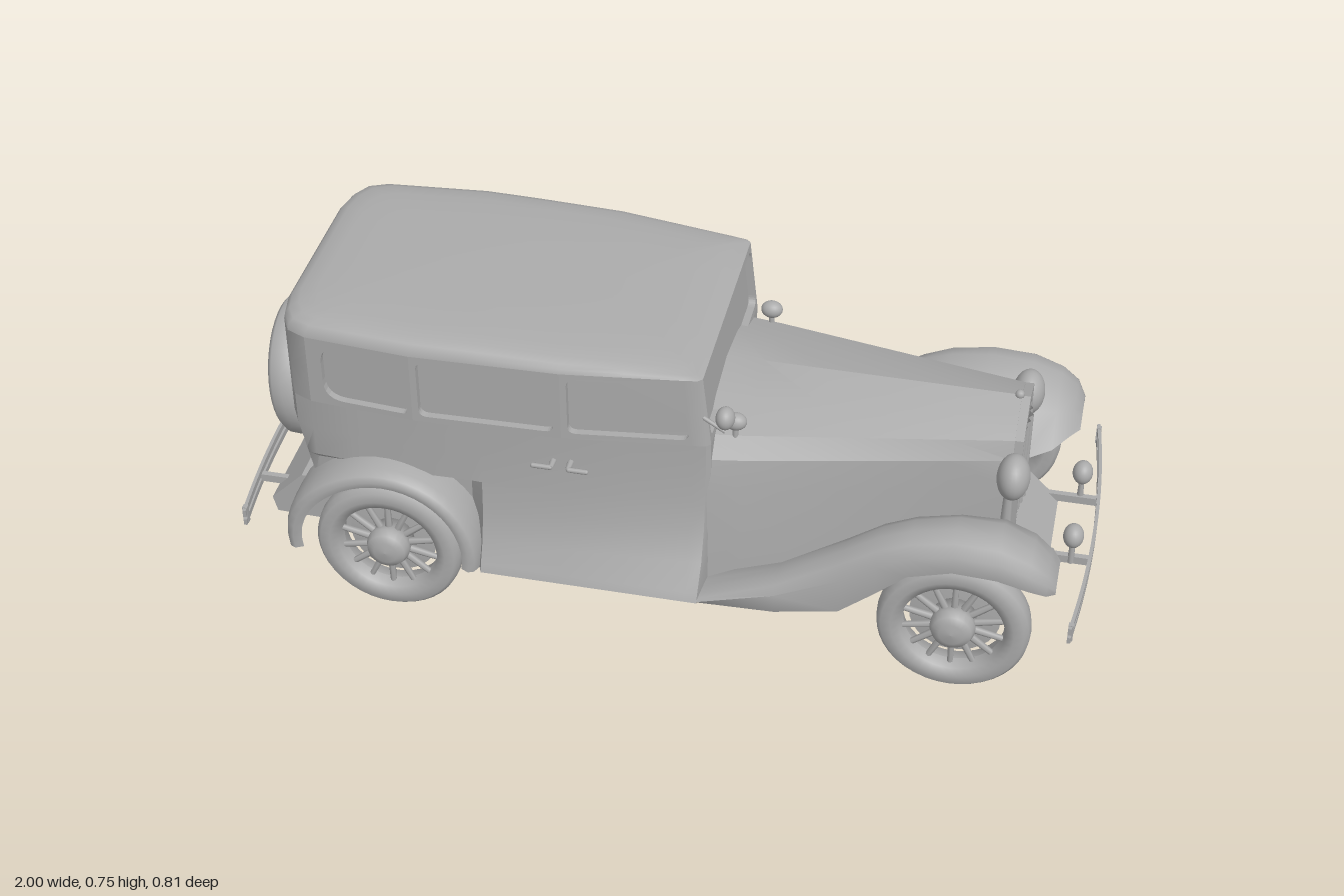
import * as THREE from 'three';
import { mergeGeometries, toCreasedNormals } from 'three/addons/utils/BufferGeometryUtils.js';

const grey = new THREE.MeshStandardMaterial({ color: 0xababab, side: THREE.DoubleSide });
grey.name = 'plain grey';
const V2 = (x, y) => new THREE.Vector2(x, y);

// Smooth skin through rows of [x, y, z] points
function loft(rows, crease = 0.6) {
  const n = rows[0].length, index = [];
  for (let i = 0; i < rows.length - 1; i++) for (let j = 0; j < n - 1; j++) {
    const a = i * n + j, b = a + n;
    index.push(a, b, a + 1, b, b + 1, a + 1);
  }
  const g = new THREE.BufferGeometry();
  g.setAttribute('position', new THREE.Float32BufferAttribute(rows.flat(2), 3));
  g.setIndex(index);
  return toCreasedNormals(g, crease);
}
// Move every vertex by a rule
function warp(g, rule) {
  const p = g.attributes.position;
  for (let i = 0; i < p.count; i++) p.setXYZ(i, ...rule(p.getX(i), p.getY(i), p.getZ(i)));
  g.computeVertexNormals();
  return g;
}
// Copy to the other side, keeping faces outward
function mirror(g) {
  const m = g.index ? g.toNonIndexed() : g.clone();
  m.scale(1, 1, -1);
  for (const a of Object.values(m.attributes)) for (let i = 0; i < a.count; i += 3)
    for (let k = 0; k < a.itemSize; k++) {
      const t = a.getComponent(i + 1, k);
      a.setComponent(i + 1, k, a.getComponent(i + 2, k));
      a.setComponent(i + 2, k, t);
    }
  return m;
}
const merge = list => mergeGeometries(list.map(g => {
  const m = g.index ? g.toNonIndexed() : g;
  m.deleteAttribute('uv');
  return m;
}));
// Linear lookup in a table of [x, value] with rising x
function lookup(t, x) {
  if (x <= t[0][0]) return t[0][1];
  for (let i = 1; i < t.length; i++) if (x <= t[i][0])
    return t[i - 1][1] + (t[i][1] - t[i - 1][1]) * (x - t[i - 1][0]) / (t[i][0] - t[i - 1][0]);
  return t[t.length - 1][1];
}
function roundRect(p, x0, y0, x1, y1, r, rl = r) {
  p.moveTo(x0 + rl, y0); p.lineTo(x1 - r, y0); p.quadraticCurveTo(x1, y0, x1, y0 + r);
  p.lineTo(x1, y1 - r); p.quadraticCurveTo(x1, y1, x1 - r, y1);
  p.lineTo(x0 + rl, y1); p.quadraticCurveTo(x0, y1, x0, y1 - rl);
  p.lineTo(x0, y0 + rl); p.quadraticCurveTo(x0, y0, x0 + rl, y0);
  return p;
}

const BELT = 0.53, HEAD = 0.71, REVEAL = 0.02;
const halfWidth = x => lookup([[-0.8, 0.312], [-0.55, 0.333], [-0.205, 0.325], [0.09, 0.29]], x);
const rake = (x, y) => x - Math.max(0, y - BELT) * 0.11 * THREE.MathUtils.clamp((x + 0.2) / 0.3, 0, 1);

// Half outline of the cabin in plan, front centre to rear centre
const sideX = [0.09, -0.05, -0.205, -0.395, -0.43, -0.55, -0.7, -0.8];
const half = [[0.13, 0], [0.13, 0.15], [0.13, 0.275], [0.12, 0.285], ...sideX.map(x => [x, halfWidth(x)]),
  [-0.845, 0.292], [-0.868, 0.25], [-0.88, 0.19], [-0.88, 0.1], [-0.88, 0]];
const outline = [...half, ...half.slice(0, -1).reverse().map(([x, z]) => [x, -z])];

// One level of the cabin: flared sill, narrow over the rear wheels, domed roof
function level(y, inset = 0) {
  return outline.map(([x, z]) => {
    let w = Math.abs(z), px = x, py = y;
    if (w > 0.28 && x > -0.41) w += (0.385 - w) * lookup([[0.145, 1], [0.165, 0.9], [0.22, 0.45], [0.3, 0.15], [0.42, 0]], y);
    else if (x <= -0.41 && y < 0.37) w = Math.min(w, 0.3);
    if (x < -0.8) px += lookup([[0.145, 0.06], [0.3, 0.03], [0.45, 0]], y);
    px = -0.37 + (px + 0.37) * (1 - inset / 0.5);
    w *= 1 - inset / 0.31;
    if (y >= HEAD) py -= Math.max(0, px + 0.6) ** 2 * 0.05 * Math.min(1, (y - HEAD) / 0.03);
    return [rake(px, y), py, Math.sign(z) * w];
  });
}

// Window panel and its recessed pane, placed by a rule
function windowPanel(rect, hole, place) {
  const s = new THREE.Shape([V2(rect[0], BELT), V2(rect[1], BELT), V2(rect[1], HEAD), V2(rect[0], HEAD)]);
  s.holes.push(roundRect(new THREE.Path(), ...hole));
  const frame = new THREE.ExtrudeGeometry(s, { depth: REVEAL, bevelEnabled: false, curveSegments: 6 });
  const pane = new THREE.ShapeGeometry(roundRect(new THREE.Shape(), ...hole), 6);
  return [warp(frame, place), warp(pane, (x, y, z) => place(x, y, z + 0.003))];
}

// Wheel with its axis on z, outer face to +z
function wheelGeometry() {
  const turn = (pts, n = 40) => new THREE.LatheGeometry(pts.map(p => V2(...p)), n).rotateX(Math.PI / 2);
  const parts = [
    turn([[0.115, 0], [0.12, -0.03], [0.14, -0.037], [0.163, -0.035], [0.173, -0.024], [0.176, 0],
      [0.173, 0.024], [0.163, 0.035], [0.14, 0.037], [0.12, 0.03], [0.115, 0]]),
    turn([[0, -0.02], [0.05, -0.02], [0.052, 0.025], [0.045, 0.042], [0.028, 0.05], [0, 0.053]], 24),
    turn([[0, -0.042], [0.09, -0.042], [0.105, -0.034], [0.105, -0.02], [0, -0.02]], 28),
  ];
  for (let i = 0; i < 14; i++)
    parts.push(new THREE.CylinderGeometry(0.007, 0.009, 0.08, 6).translate(0, 0.082, 0.008).rotateZ(i * Math.PI / 7));
  return merge(parts);
}

export function createModel() {
  const car = new THREE.Group();
  car.name = 'vintage saloon car';
  const add = (name, g) => {
    const m = new THREE.Mesh(g, grey);
    m.name = name;
    car.add(m);
    return m;
  };
  const pair = (name, g) => { add(name + 'Left', g); add(name + 'Right', mirror(g)); };

  // Cabin shell
  add('lowerBody', loft([level(0.145, 0.31), ...[0.145, 0.165, 0.22, 0.3, 0.36, 0.375, 0.45, BELT].map(y => level(y))]));
  add('roof', loft([[HEAD, 0], [0.725, 0.003], [0.736, 0.012], [0.744, 0.03], [0.749, 0.065], [0.752, 0.13], [0.754, 0.22], [0.754, 0.31]]
    .map(l => level(...l)), 1));
  for (const [name, a, b] of [['windscreenPost', 2, 5], ['rearCorner', 11, 15]])
    pair(name, loft([BELT, 0.62, HEAD].map(y => level(y).slice(a, b)), 1));

  // Windows
  const onSide = (x, y, z) => [rake(x, y), y, halfWidth(x) - REVEAL + z];
  const sideWindows = [
    [[-0.205, 0.09], [-0.19, 0.545, 0.085, 0.695, 0.02]],
    [[-0.55, -0.205], [-0.535, 0.545, -0.222, 0.695, 0.02]],
    [[-0.8, -0.55], [-0.765, 0.545, -0.562, 0.695, 0.015, 0.05]],
  ];
  for (const [rect, hole] of sideWindows) {
    const [frame, pane] = windowPanel(rect, hole, onSide);
    pair('sideWindowFrame', frame);
    pair('sideWindow', pane);
  }
  const [screenFrame, screen] = windowPanel([-0.275, 0.275], [-0.265, 0.545, 0.265, 0.693, 0.02],
    (x, y, z) => [rake(0.13, y) - REVEAL + z, y, -x]);
  add('windscreenFrame', screenFrame);
  add('windscreen', screen);
  const [backFrame, back] = windowPanel([-0.19, 0.19], [-0.14, 0.585, 0.14, 0.67, 0.015],
    (x, y, z) => [-0.88 + REVEAL - z, y, x]);
  add('rearWindowFrame', backFrame);
  add('rearWindow', back);

  // Bonnet, tapering from the scuttle to the radiator
  const cowl = [[0, 0.145], [0.3, 0.145], [0.288, 0.4], [0.272, 0.48], [0.235, 0.525], [0.13, 0.556], [0, 0.576]];
  const nose = [[0, 0.145], [0.12, 0.145], [0.13, 0.4], [0.128, 0.48], [0.112, 0.525], [0.06, 0.55], [0, 0.572]];
  const rows = [0.11, 0.2, 0.35, 0.5, 0.65, 0.795].map(x => {
    const t = Math.max(0, (x - 0.13) / 0.665);
    const side = cowl.map(([z, y], i) => [x, y + (nose[i][1] - y) * t, z + (nose[i][0] - z) * t]);
    return [...side, ...side.slice(0, -1).reverse().map(([a, y, z]) => [a, y, -z])];
  });
  rows.push(rows[5].map(() => [0.795, 0.35, 0]));
  add('bonnet', loft(rows, 0.35));

  // Radiator shell and ribbed grille
  const shell = new THREE.Shape([V2(-0.115, 0.2), V2(0.115, 0.2), V2(0.128, 0.42), V2(0.112, 0.525), V2(0, 0.57), V2(-0.112, 0.525), V2(-0.128, 0.42)]);
  shell.holes.push(roundRect(new THREE.Path(), -0.103, 0.28, 0.103, 0.52, 0.012));
  add('radiatorShell', new THREE.ExtrudeGeometry(shell, { depth: 0.025, bevelEnabled: false }).rotateY(Math.PI / 2).translate(0.79, 0, 0));
  add('grille', warp(new THREE.PlaneGeometry(0.206, 0.24, 64, 1).rotateY(Math.PI / 2),
    (x, y, z) => [0.804 + 0.018 * (1 - Math.abs(z) / 0.103) + 0.004 * Math.cos(z / 0.206 * Math.PI * 16), y + 0.4, z]));
  add('radiatorCap', new THREE.SphereGeometry(0.011, 12, 8).translate(0.79, 0.573, 0));

  // Aprons below the radiator and the tail
  const apron = (name, pts, width) => add(name, new THREE.ExtrudeGeometry(new THREE.Shape(pts.map(p => V2(...p))),
    { depth: width, bevelEnabled: false }).translate(0, 0, -width / 2));
  apron('frontApron', [[0.77, 0.145], [0.88, 0.155], [0.9, 0.19], [0.81, 0.28], [0.77, 0.28]], 0.23);
  apron('rearApron', [[-0.78, 0.145], [-0.93, 0.15], [-0.94, 0.19], [-0.86, 0.27], [-0.78, 0.27]], 0.55);

  // Front wings: x, crown height, lip height, outer z, inner z, inner height
  const wing = [[0.12, 0.152, 0.145, 0.385, 0.28, 0.147], [0.3, 0.235, 0.155, 0.39, 0.25, 0.19], [0.45, 0.335, 0.19, 0.395, 0.22, 0.24],
    [0.53, 0.385, 0.26, 0.398, 0.19, 0.26], [0.6, 0.412, 0.325, 0.4, 0.17, 0.27], [0.7, 0.43, 0.355, 0.4, 0.15, 0.27],
    [0.8, 0.425, 0.35, 0.4, 0.14, 0.27], [0.87, 0.398, 0.33, 0.398, 0.17, 0.29], [0.91, 0.365, 0.315, 0.388, 0.21, 0.31], [0.93, 0.325, 0.305, 0.365, 0.245, 0.305]];
  pair('frontWing', loft(wing.map(([x, top, lip, zo, zi, low]) => {
    const w = zo - zi, h = top - low;
    return [[x, lip, zo - 0.004], [x, lip + (top - lip) * 0.65, zo], [x, top - (top - lip) * 0.1, zo - w * 0.1], [x, top, zo - w * 0.27],
      [x, top - h * 0.08, zo - w * 0.5], [x, top - h * 0.35, zo - w * 0.75], [x, low, zi]];
  }), 1.2));

  // Rear wings wrapped over the wheels
  const wingRows = [];
  for (let i = 0; i <= 24; i++) {
    const a = THREE.MathUtils.degToRad(188 - 197 * i / 24);
    const grow = 1 + 0.14 * Math.max(0, -Math.cos(a)) ** 4;
    wingRows.push([[0.39, 0.183], [0.396, 0.2], [0.388, 0.213], [0.365, 0.221], [0.32, 0.223], [0.26, 0.223]]
      .map(([z, r]) => [-0.62 + Math.cos(a) * r * grow, 0.18 + Math.sin(a) * r * grow, z]));
  }
  pair('rearWing', loft(wingRows, 1.2));

  // Wheels, axles and the tilted spare
  const wheel = wheelGeometry();
  for (const [name, x] of [['frontWheel', 0.71], ['rearWheel', -0.62]]) {
    pair(name, wheel.clone().translate(x, 0.178, 0.353));
    add(name + 'Axle', new THREE.CylinderGeometry(0.015, 0.015, 0.64, 10).rotateX(Math.PI / 2).translate(x, 0.178, 0));
  }
  const spare = add('spareWheel', wheel);
  spare.position.set(-0.927, 0.395, 0);
  spare.rotation.set(0, -Math.PI / 2, 0.1, 'ZYX');

  // Twin bar bumpers with their brackets
  for (const [name, dir] of [['frontBumper', 1], ['rearBumper', -1]]) {
    const bars = [0.191, 0.218].map(y => warp(new THREE.BoxGeometry(0.008, 0.016, 0.76, 1, 1, 20),
      (x, v, z) => [x + dir * (0.971 + 0.025 * (1 - (z / 0.38) ** 2)), y + v, z]));
    add(name, merge(bars));
    pair(name + 'Clamp', new THREE.BoxGeometry(0.012, 0.046, 0.012).translate(dir * 0.973, 0.205, 0.365));
    pair(name + 'Bracket', new THREE.BoxGeometry(0.15, 0.02, 0.014).translate(dir * 0.915, 0.203, dir > 0 ? 0.11 : 0.22));
  }

  // Lamps: a domed glass on a bullet-shaped bowl, facing forward
  const lamp = (r, len) => new THREE.SphereGeometry(r, 24, 16).scale(len / r, 1, 1);
  pair('headlamp', lamp(0.054, 0.038).translate(0.802, 0.462, 0.162));
  pair('headlampPost', new THREE.CylinderGeometry(0.01, 0.014, 0.12, 8).translate(0.795, 0.37, 0.165));
  pair('foglamp', lamp(0.029, 0.024).translate(0.95, 0.278, 0.118));
  pair('foglampPost', new THREE.CylinderGeometry(0.006, 0.008, 0.07, 8).translate(0.95, 0.23, 0.114));
  pair('scuttleLamp', lamp(0.021, 0.026).translate(0.175, 0.563, 0.222));
  pair('scuttleLampPost', new THREE.CylinderGeometry(0.006, 0.008, 0.05, 8).translate(0.175, 0.532, 0.222));
  add('spotlamp', lamp(0.027, 0.022).translate(0.162, 0.612, 0.278));
  add('spotlampStem', new THREE.CylinderGeometry(0.005, 0.005, 0.06, 8).rotateZ(1).translate(0.137, 0.592, 0.28));

  // Door handles
  for (const [x, dir] of [[-0.185, 1], [-0.225, -1]]) {
    pair('doorHandle', new THREE.CapsuleGeometry(0.006, 0.04, 4, 8).rotateZ(Math.PI / 2).translate(x + dir * 0.022, 0.462, 0.35));
    pair('doorHandleStem', new THREE.CylinderGeometry(0.006, 0.008, 0.03, 8).rotateX(Math.PI / 2).translate(x, 0.462, 0.337));
  }
  return car;
}
